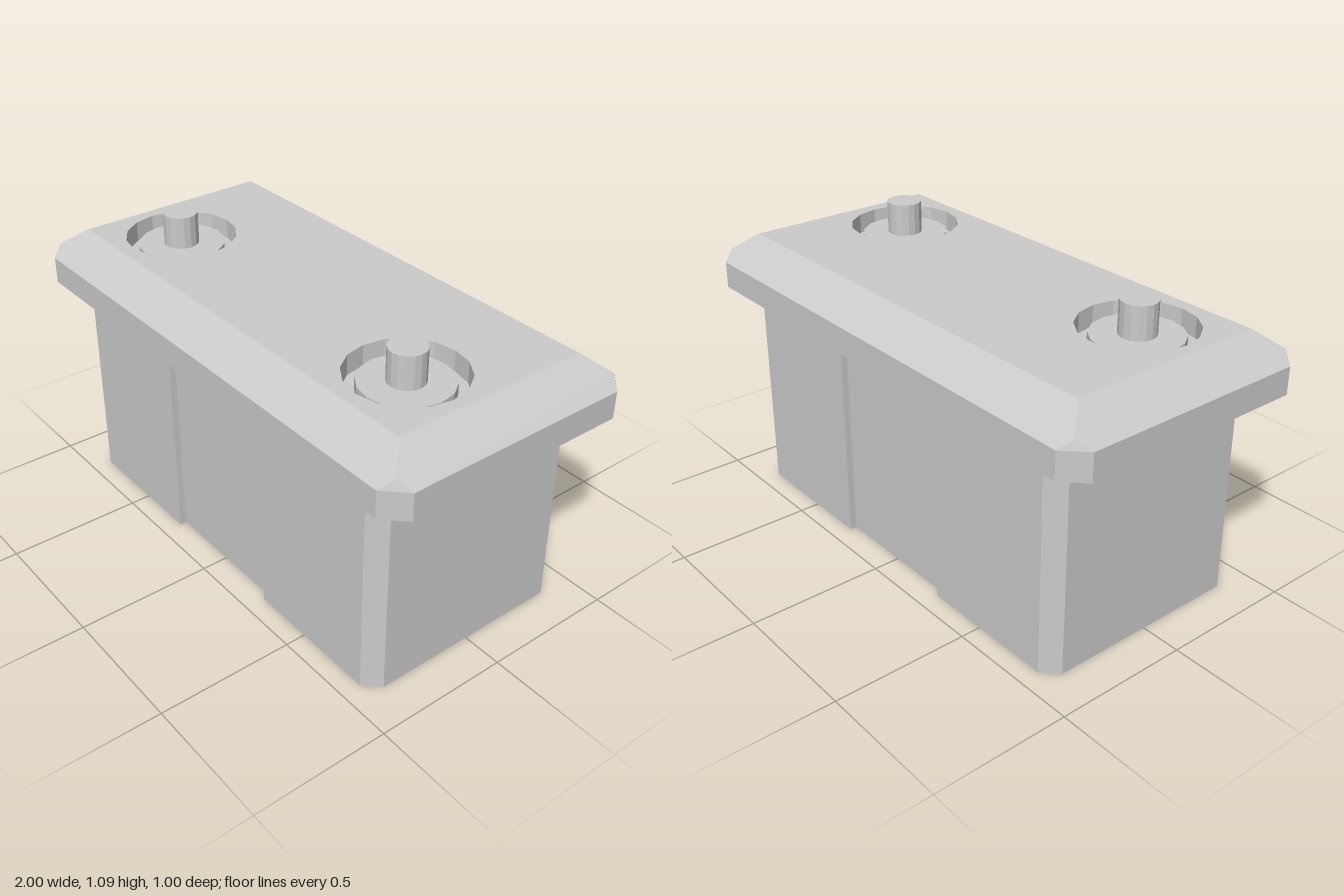
import * as THREE from 'three';

const material = new THREE.MeshStandardMaterial({ color: 0xcccccc, flatShading: true });
const SIDES = 16;
const TERMINAL_X = 0.625, TERMINAL_Z = 0.1225, WELL_RADIUS = 0.205;

function addMesh(parent, name, geometry) {
  const mesh = new THREE.Mesh(geometry, material);
  mesh.name = name;
  parent.add(mesh);
  return mesh;
}

// Rectangle with cut corners at height y, counterclockwise seen from above
function ring(x, y, z, c) {
  return [
    [-x + c, y, z], [x - c, y, z], [x, y, z - c], [x, y, -z + c],
    [x - c, y, -z], [-x + c, y, -z], [-x, y, -z + c], [-x, y, z - c],
  ];
}

// Skin between successive rings
function loft(rings) {
  const positions = [];
  for (let i = 0; i < rings.length - 1; i++) {
    const low = rings[i], high = rings[i + 1];
    for (let j = 0; j < low.length; j++) {
      const k = (j + 1) % low.length;
      positions.push(...low[j], ...low[k], ...high[k], ...low[j], ...high[k], ...high[j]);
    }
  }
  const geometry = new THREE.BufferGeometry();
  geometry.setAttribute('position', new THREE.Float32BufferAttribute(positions, 3));
  geometry.computeVertexNormals();
  return geometry;
}

export function createModel() {
  const model = new THREE.Group();
  model.name = 'battery';

  // Case: cut corners and a shallow recessed panel on front and back
  const w = 0.85, d = 0.425, cut = 0.055, px = 0.27, pd = d - 0.025;
  const half = [[-w, -d + cut], [-w + cut, -d], [-px, -d], [-px, -pd],
    [px, -pd], [px, -d], [w - cut, -d], [w, -d + cut]];
  const outline = [...half, ...half.map(([x, y]) => [-x, -y])];
  const caseShape = new THREE.Shape(outline.map(([x, y]) => new THREE.Vector2(x, y)));
  const caseGeometry = new THREE.ExtrudeGeometry(caseShape, { depth: 0.9, bevelEnabled: false });
  addMesh(model, 'case', caseGeometry.rotateX(-Math.PI / 2));

  // Lid: hollow underside, upright rim and sloped shoulders
  const lid = new THREE.Group();
  lid.name = 'lid';
  model.add(lid);
  addMesh(lid, 'lidRim', loft([
    ring(0.8, 0.855, 0.37, 0.05),
    ring(0.96, 0.855, 0.46, 0.06),
    ring(0.96, 0.8, 0.46, 0.06),
    ring(1, 0.8, 0.5, 0.075),
    ring(1, 0.9, 0.5, 0.075),
    ring(0.955, 0.936, 0.455, 0),
    ring(0.875, 1, 0.375, 0),
  ]));

  // Flat lid top with a round opening at each terminal
  const top = new THREE.Shape([[-0.875, -0.375], [0.875, -0.375], [0.875, 0.375], [-0.875, 0.375]]
    .map(([x, y]) => new THREE.Vector2(x, y)));
  for (const side of [-1, 1]) {
    const points = [];
    for (let i = 0; i < SIDES; i++) {
      const a = (i / SIDES) * Math.PI * 2;
      points.push(new THREE.Vector2(
        side * TERMINAL_X + Math.sin(a) * WELL_RADIUS,
        -TERMINAL_Z - Math.cos(a) * WELL_RADIUS));
    }
    top.holes.push(new THREE.Path(points));
  }
  addMesh(lid, 'lidTop', new THREE.ShapeGeometry(top).rotateX(-Math.PI / 2)).position.y = 1;

  // Terminals: ring groove around a sunken disc, with a post
  const wellProfile = [[WELL_RADIUS, 1], [WELL_RADIUS, 0.925], [0.16, 0.925], [0.16, 0.97], [0, 0.97]]
    .map(([r, y]) => new THREE.Vector2(r, y));
  for (const side of [-1, 1]) {
    const terminal = new THREE.Group();
    terminal.name = side > 0 ? 'leftTerminal' : 'rightTerminal';
    terminal.position.set(side * TERMINAL_X, 0, TERMINAL_Z);
    addMesh(terminal, 'well', new THREE.LatheGeometry(wellProfile, SIDES));
    addMesh(terminal, 'post', new THREE.CylinderGeometry(0.065, 0.065, 0.13, SIDES)).position.y = 1.025;
    model.add(terminal);
  }
  return model;
}
